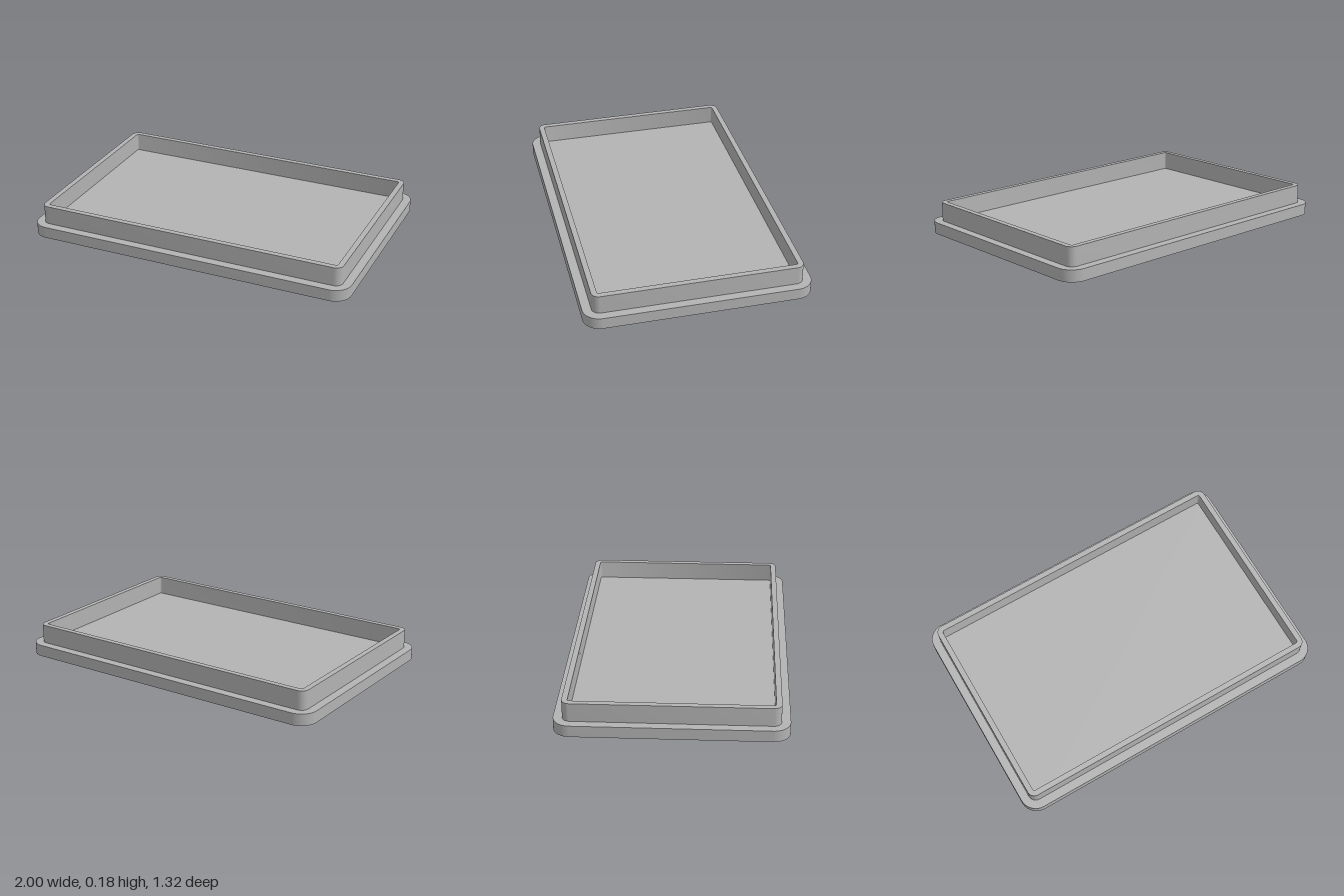
import * as THREE from 'three';
import { toCreasedNormals } from 'three/addons/utils/BufferGeometryUtils.js';

const BASE_HEIGHT = 0.07;
const TOTAL_HEIGHT = 0.183;

// Traces a centred rounded rectangle onto a Shape or Path
function roundedRect(path, halfX, halfZ, r) {
  path.moveTo(halfX, -halfZ + r);
  path.absarc(halfX - r, halfZ - r, r, 0, Math.PI / 2);
  path.absarc(-halfX + r, halfZ - r, r, Math.PI / 2, Math.PI);
  path.absarc(-halfX + r, -halfZ + r, r, Math.PI, Math.PI * 1.5);
  path.absarc(halfX - r, -halfZ + r, r, Math.PI * 1.5, Math.PI * 2);
  return path;
}

// Extrudes a plan outline upwards, keeping the rims sharp and the corners smooth
function slab(name, shape, bottom, top, material) {
  const flat = new THREE.ExtrudeGeometry(shape, {
    depth: top - bottom, bevelEnabled: false, curveSegments: 12,
  });
  flat.rotateX(-Math.PI / 2).translate(0, bottom, 0);
  const mesh = new THREE.Mesh(toCreasedNormals(flat, 0.6), material);
  mesh.name = name;
  return mesh;
}

export function createModel() {
  const grey = new THREE.MeshStandardMaterial({ color: 0xb3b3b3 });
  grey.name = 'light grey';

  const model = new THREE.Group();
  model.name = 'traySnapLid';

  // Base plate with rounded corners; its top is also the tray floor
  const base = roundedRect(new THREE.Shape(), 1, 0.66, 0.1);
  model.add(slab('basePlate', base, 0, BASE_HEIGHT, grey));

  // Thin raised wall, open at the top
  const wall = roundedRect(new THREE.Shape(), 0.95, 0.608, 0.045);
  wall.holes.push(roundedRect(new THREE.Path(), 0.917, 0.575, 0.012));
  model.add(slab('raisedWall', wall, BASE_HEIGHT, TOTAL_HEIGHT, grey));

  return model;
}
